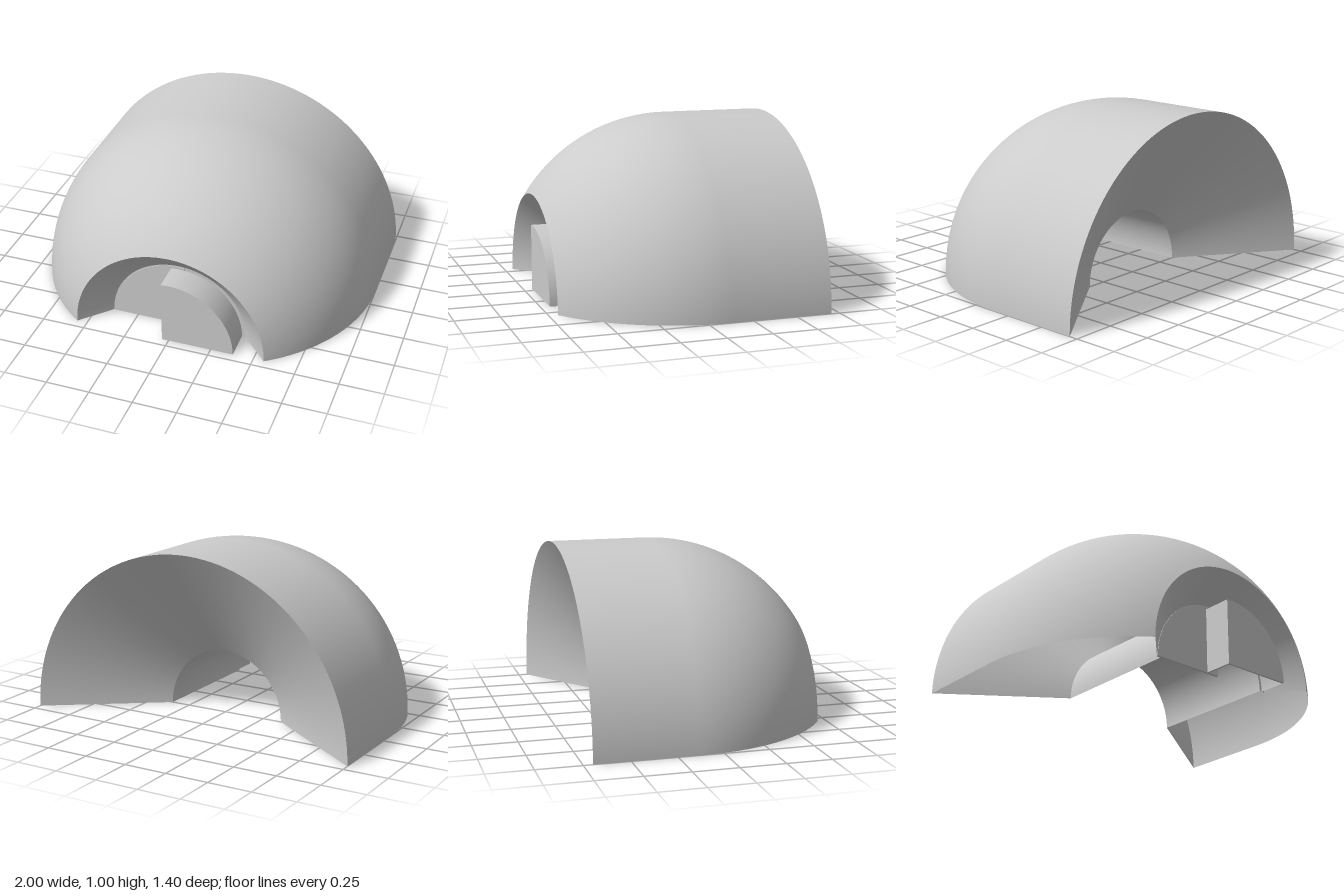
import * as THREE from 'three';

const material = new THREE.MeshStandardMaterial({ color: 0xcccccc, side: THREE.DoubleSide });

// Upper part of a surface of revolution about the z axis; points are [radius, z]
function arch(name, points, start = Math.PI / 2, length = Math.PI, segments = 64) {
  const profile = points.map(([r, z]) => new THREE.Vector2(r, z));
  const geometry = new THREE.LatheGeometry(profile, segments, start, length);
  geometry.rotateX(Math.PI / 2);
  const mesh = new THREE.Mesh(geometry, material);
  mesh.name = name;
  return mesh;
}

// Thin upright plate: round on the outer side, cut straight just past the middle
function doorPlate(name, radius, overlap, side, frontZ, thickness) {
  const cut = Math.acos(-overlap / radius);
  const shape = new THREE.Shape();
  shape.moveTo(-overlap * side, 0);
  for (let i = 0; i <= 40; i++) {
    const a = cut * (1 - i / 40);
    shape.lineTo(side * radius * Math.cos(a), radius * Math.sin(a));
  }
  const geometry = new THREE.ExtrudeGeometry(shape, { depth: thickness, bevelEnabled: false });
  geometry.translate(0, 0, frontZ - thickness);
  const mesh = new THREE.Mesh(geometry, material);
  mesh.name = name;
  return mesh;
}

export function createModel() {
  const model = new THREE.Group();
  model.name = 'archedShell';

  const back = -0.7, front = 0.7, recess = 0.53;
  const bore = 0.365, throat = 0.4, mouth = 0.56;

  // Outer skin: straight barrel running into a spherical nose
  const domeCentre = front - Math.sqrt(1 - mouth * mouth);
  const outer = [[1, back]];
  const endAngle = Math.acos(mouth);
  for (let i = 0; i <= 32; i++) {
    const a = endAngle * i / 32;
    outer.push([Math.cos(a), domeCentre + Math.sin(a)]);
  }
  model.add(arch('outerShell', outer));

  // Inner skin, open along the bottom
  model.add(arch('frontFunnel', [[mouth, front], [throat, recess]]));
  model.add(arch('recessLedge', [[throat, recess], [bore, recess]]));
  model.add(arch('bore', [[bore, recess], [bore, -0.25]]));
  model.add(arch('rearFunnel', [[bore, -0.25], [1, back]]));

  // Recessed door on the right
  model.add(doorPlate('rearDoor', 0.395, 0.04, -1, recess + 0.003, 0.015));

  // Raised hollow door on the left: face, rim and straight side
  const radius = 0.38, overlap = 0.04;
  const door = new THREE.Group();
  door.name = 'frontDoor';
  door.add(doorPlate('frontDoorFace', radius, overlap, 1, front, 0.012));
  const sweep = Math.PI / 2 + Math.asin(overlap / radius);
  door.add(arch('frontDoorRim', [[radius, recess], [radius, front]], Math.PI / 2, sweep, 40));
  const height = Math.sqrt(radius * radius - overlap * overlap);
  const wall = new THREE.Mesh(new THREE.BoxGeometry(0.01, height, front - recess), material);
  wall.name = 'frontDoorSide';
  wall.position.set(-overlap + 0.005, height / 2, (front + recess) / 2);
  door.add(wall);
  model.add(door);

  return model;
}
